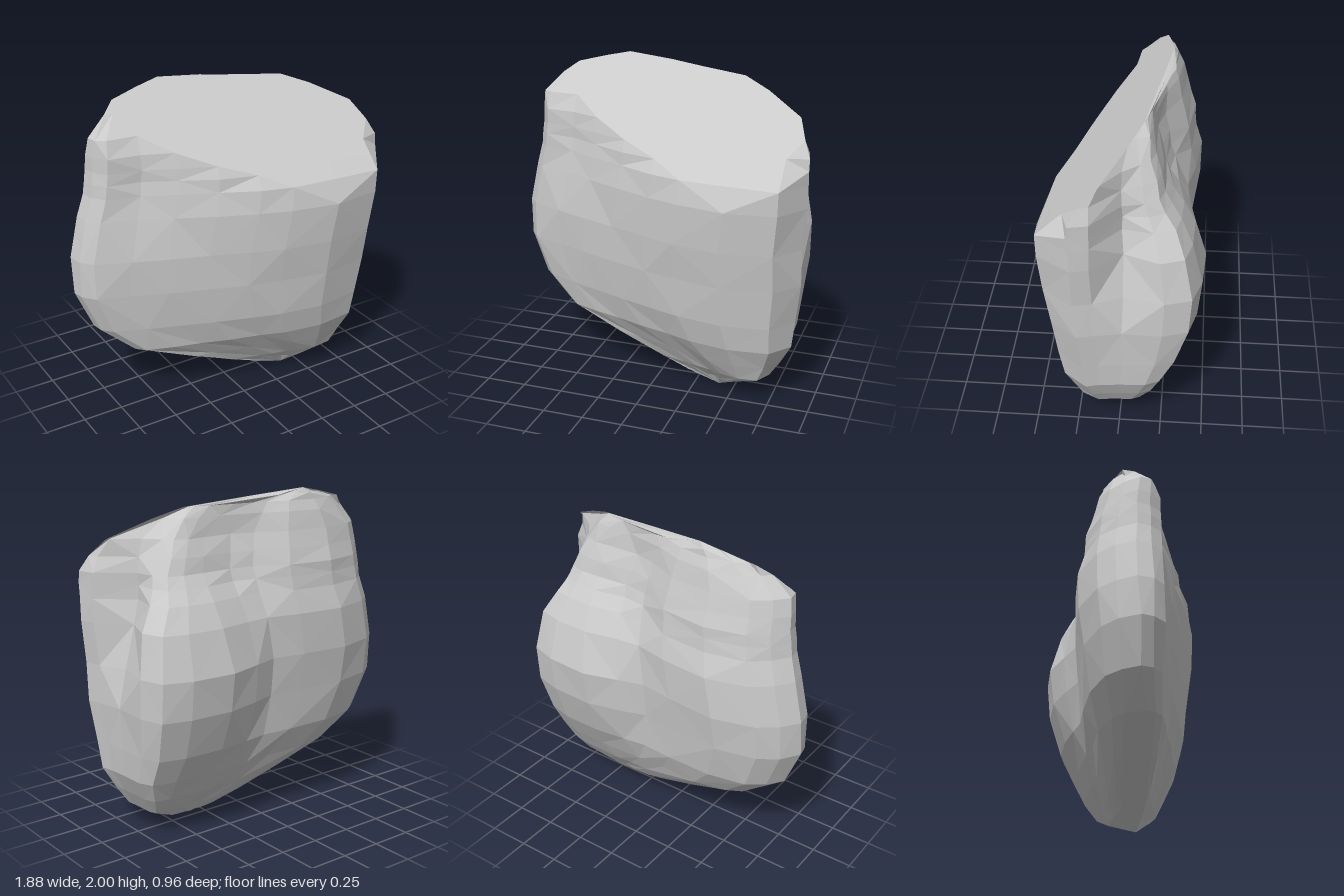
import * as THREE from 'three';

// Plan outline: [u across the width, v depth], v > 0 towards the front, v < 0 towards the back
const PLAN = [
  [-1, -0.4], [-0.985, -0.2], [-0.92, -0.02], [-0.7, 0.17], [-0.49, 0.34], [-0.25, 0.54],
  [0, 0.73], [0.21, 0.88], [0.53, 1], [0.86, 0.92], [1, 0.53], [0.975, 0.3],
  [0.96, -0.06], [0.95, -0.55], [0.9, -0.87], [0.72, -0.97], [0.43, -1], [0.2, -0.89],
  [0.03, -0.84], [-0.2, -0.94], [-0.53, -1], [-0.8, -0.85], [-0.92, -0.65],
];
const GROOVE = 12; // outline point at the bottom of the side groove
const TAPER = { 12: 0.1, 13: 0.2, 14: 0.2, 15: 0.13 }; // how far the right rear lobe narrows

// Levels: y, left x, right x, front depth, back depth of each rear lobe
const LEVELS = [
  [0.07, 0.2, 0.56, 0.16, 0.06, 0.07],
  [0.14, 0.0, 0.73, 0.24, 0.13, 0.13],
  [0.25, -0.3, 0.8, 0.29, 0.2, 0.21],
  [0.38, -0.64, 0.87, 0.35, 0.27, 0.28],
  [0.55, -0.84, 0.89, 0.385, 0.35, 0.375],
  [0.8, -0.945, 0.92, 0.42, 0.4, 0.455],
  [1.03, -0.945, 0.92, 0.45, 0.43, 0.48],
  [1.28, -0.89, 0.94, 0.475, 0.43, 0.42],
  [1.42, -0.85, 0.94, 0.48, 0.4, 0.35],
  [1.5, -0.84, 0.94, 0.48, 0.39, 0.29],
  [1.57, -0.83, 0.94, 0.48, 0.38, 0.25],
  [1.66, -0.825, 0.9, 0.48, 0.36, 0.23],
  [1.76, -0.81, 0.85, 0.48, 0.33, 0.19],
  [1.87, -0.7, 0.63, 0.48, 0.3, 0.17],
  [1.93, -0.62, 0.47, 0.48, 0.28, 0.16],
  [1.97, -0.45, 0.05, 0.48, 0.27, 0.22],
];

const { smoothstep, lerp } = THREE.MathUtils;

// The flat split face that slopes down from the peak to the front
const splitFace = (x, y) => -0.25 + 0.08 * (x + 0.3) + 1.05 * (2 - y);

export function createModel() {
  const stone = new THREE.MeshStandardMaterial({ color: 0xcacaca, flatShading: true });
  stone.name = 'stone grey';

  let seed = 7;
  const jitter = (size) => {
    seed = (seed * 16807) % 2147483647;
    return (seed / 2147483647 - 0.5) * 2 * size;
  };

  const positions = [];
  const index = [];
  const n = PLAN.length;

  // Stack the outline level by level, then cut it with the split face
  for (const [y, xl, xr, front, backL, backR] of LEVELS) {
    const narrow = smoothstep(y, 1.1, 1.6) * (1 - smoothstep(y, 1.75, 1.95));
    const lean = 0.09 * smoothstep(y, 1, 1.8);
    const footShift = 0.1 * (1 - smoothstep(y, 0.1, 0.6));
    const valley = smoothstep(y, 0.2, 0.85); // the rear valley fades out towards the foot
    PLAN.forEach(([u, v], i) => {
      const dent = i === GROOVE ? 0.13 * Math.exp(-(((y - 1.35) / 0.38) ** 2)) : 0;
      const x = (xl + xr) / 2 + (u - dent) * (xr - xl) / 2 - narrow * (TAPER[i] ?? 0);
      const back = lerp(backL, backR, smoothstep(x, -0.2, 0.3));
      const depth = i > 16 && i < 20 ? lerp(-1, v, valley) : v;
      // the left of the front leans back at the top and forward at the foot
      const left = Math.max(0, -u);
      const z = v > 0 ? v * front - lean * left : depth * back;
      const shift = v > -0.5 ? footShift * left : 0;
      positions.push(x, y, Math.min(z + shift + jitter(0.006), splitFace(x, y)));
    });
  }
  for (let j = 0; j < LEVELS.length - 1; j++) {
    for (let i = 0; i < n; i++) {
      const k = (i + 1) % n;
      const a = j * n + i, b = j * n + k, c = a + n, d = b + n;
      if ((i + j) % 2) index.push(a, b, d, a, d, c);
      else index.push(a, b, c, b, d, c);
    }
  }

  // Close the foot and the peak with fans
  const foot = positions.length / 3;
  positions.push(0.4, 0, 0.08, -0.3, 2, -0.25);
  const last = (LEVELS.length - 1) * n;
  for (let i = 0; i < n; i++) {
    const k = (i + 1) % n;
    index.push(foot, k, i, foot + 1, last + i, last + k);
  }

  const geometry = new THREE.BufferGeometry();
  geometry.setAttribute('position', new THREE.Float32BufferAttribute(positions, 3));
  geometry.setIndex(index);
  const flat = geometry.toNonIndexed();
  flat.computeVertexNormals();

  const rock = new THREE.Mesh(flat, stone);
  rock.name = 'rock';
  const group = new THREE.Group();
  group.name = 'boulder';
  group.add(rock);
  return group;
}
